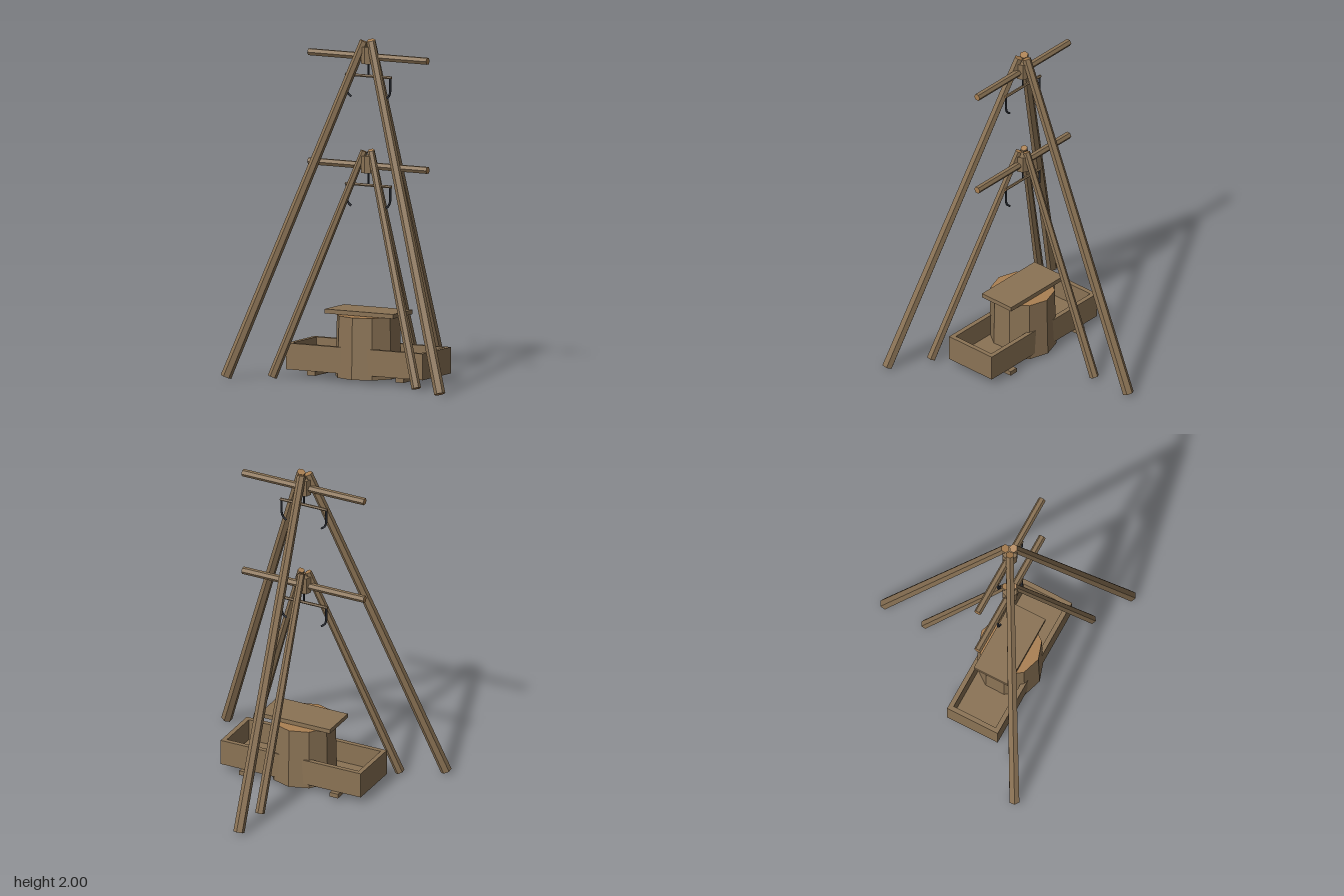
import * as THREE from 'three';

const wood = new THREE.MeshStandardMaterial({ color: 0x8b7355, flatShading: true });
wood.name = 'weatheredWood';
const cut = new THREE.MeshStandardMaterial({ color: 0xaa8052, flatShading: true });
cut.name = 'cutWood';
const iron = new THREE.MeshStandardMaterial({ color: 0x2c2f36 });
iron.name = 'darkIron';

const V = (x, y, z) => new THREE.Vector3(x, y, z);
const CZ = 0.205; // depth shared by barrel, bars and hooks

function add(parent, name, geometry, material, x = 0, y = 0, z = 0) {
  const mesh = new THREE.Mesh(geometry, material);
  mesh.name = name;
  mesh.position.set(x, y, z);
  parent.add(mesh);
  return mesh;
}

// Tapered round timber between two points, with pale sawn ends
function pole(parent, name, from, to, rFrom, rTo, sides = 6) {
  const dir = to.clone().sub(from);
  const mesh = add(parent, name, new THREE.CylinderGeometry(rTo, rFrom, dir.length(), sides), [wood, cut, cut]);
  mesh.position.copy(from).add(to).multiplyScalar(0.5);
  mesh.quaternion.setFromUnitVectors(V(0, 1, 0), dir.normalize());
  return mesh;
}

function box(parent, name, x0, x1, y0, y1, z0, z1) {
  return add(parent, name, new THREE.BoxGeometry(x1 - x0, y1 - y0, z1 - z0), wood,
    (x0 + x1) / 2, (y0 + y1) / 2, (z0 + z1) / 2);
}

// Three legs, lashing, crossbar and a hanging bar with two hooks
function tripod(name, top, footX, footZ, backZ, rTop, rFoot, barY) {
  const g = new THREE.Group();
  g.name = name;
  for (const s of [-1, 1]) {
    pole(g, 'frontLeg', V(s * footX, 0.013, footZ), V(s * 0.023, top, 0.216), rFoot, rTop);
  }
  pole(g, 'backLeg', V(0, 0.013, backZ), V(0, top, 0.175), rFoot, rTop);
  add(g, 'lashing', new THREE.CylinderGeometry(0.046, 0.046, 0.1, 8), wood, 0, barY + 0.01, CZ);
  pole(g, 'crossbar', V(-0.4, barY, CZ), V(0.4, barY, CZ), 0.022, 0.022);

  const hangY = barY - 0.115;
  pole(g, 'hangingBar', V(-0.155, hangY, CZ), V(0.155, hangY, CZ), 0.009, 0.009);
  add(g, 'hanger', new THREE.CylinderGeometry(0.005, 0.005, 0.1, 6), iron, 0, hangY + 0.05, CZ);
  for (const s of [-1, 1]) {
    const curve = new THREE.CatmullRomCurve3([
      V(s * 0.147, hangY + 0.008, CZ), V(s * 0.147, hangY - 0.045, CZ),
      V(s * 0.146, hangY - 0.085, CZ), V(s * 0.136, hangY - 0.112, CZ), V(s * 0.115, hangY - 0.13, CZ),
    ]);
    add(g, 'hook', new THREE.TubeGeometry(curve, 16, 0.0065, 6), iron);
  }
  return g;
}

// Open trough with floor, four walls and two skids beneath
function trough() {
  const g = new THREE.Group();
  g.name = 'trough';
  const [x, y0, y1, z0, z1, t] = [0.46, 0.045, 0.2, 0.036, 0.37, 0.028];
  box(g, 'troughFloor', -x, x, y0, y0 + 0.025, z0, z1);
  box(g, 'troughBackWall', -x, x, y0, y1, z0, z0 + t);
  box(g, 'troughFrontWall', -x, x, y0, y1, z1 - t, z1);
  for (const s of [-1, 1]) {
    const c = s * (x - t / 2);
    box(g, 'troughEndWall', c - t / 2, c + t / 2, y0, y1, z0 + t, z1 - t);
    box(g, 'skid', s * 0.297 - 0.027, s * 0.297 + 0.027, 0.018, y0, 0.01, 0.36);
  }
  return g;
}

// Ten-sided barrel with pale ends and a plank lid
function barrel() {
  const g = new THREE.Group();
  g.name = 'barrel';
  add(g, 'barrelBody', new THREE.CylinderGeometry(0.188, 0.197, 0.364, 10), [wood, cut, cut], 0, 0.2, CZ);
  add(g, 'bottomPlug', new THREE.CylinderGeometry(0.012, 0.012, 0.004, 8), iron, 0, 0.017, CZ);
  box(g, 'lid', -0.23, 0.23, 0.384, 0.41, 0.09, 0.318);
  return g;
}

export function createModel() {
  const model = new THREE.Group();
  model.name = 'campTripods';
  model.add(
    tripod('largeTripod', 1.99, 0.72, 0.62, -0.622, 0.026, 0.033, 1.9),
    tripod('smallTripod', 1.343, 0.485, 0.487, -0.355, 0.021, 0.028, 1.257),
    trough(),
    barrel(),
  );
  return model;
}
